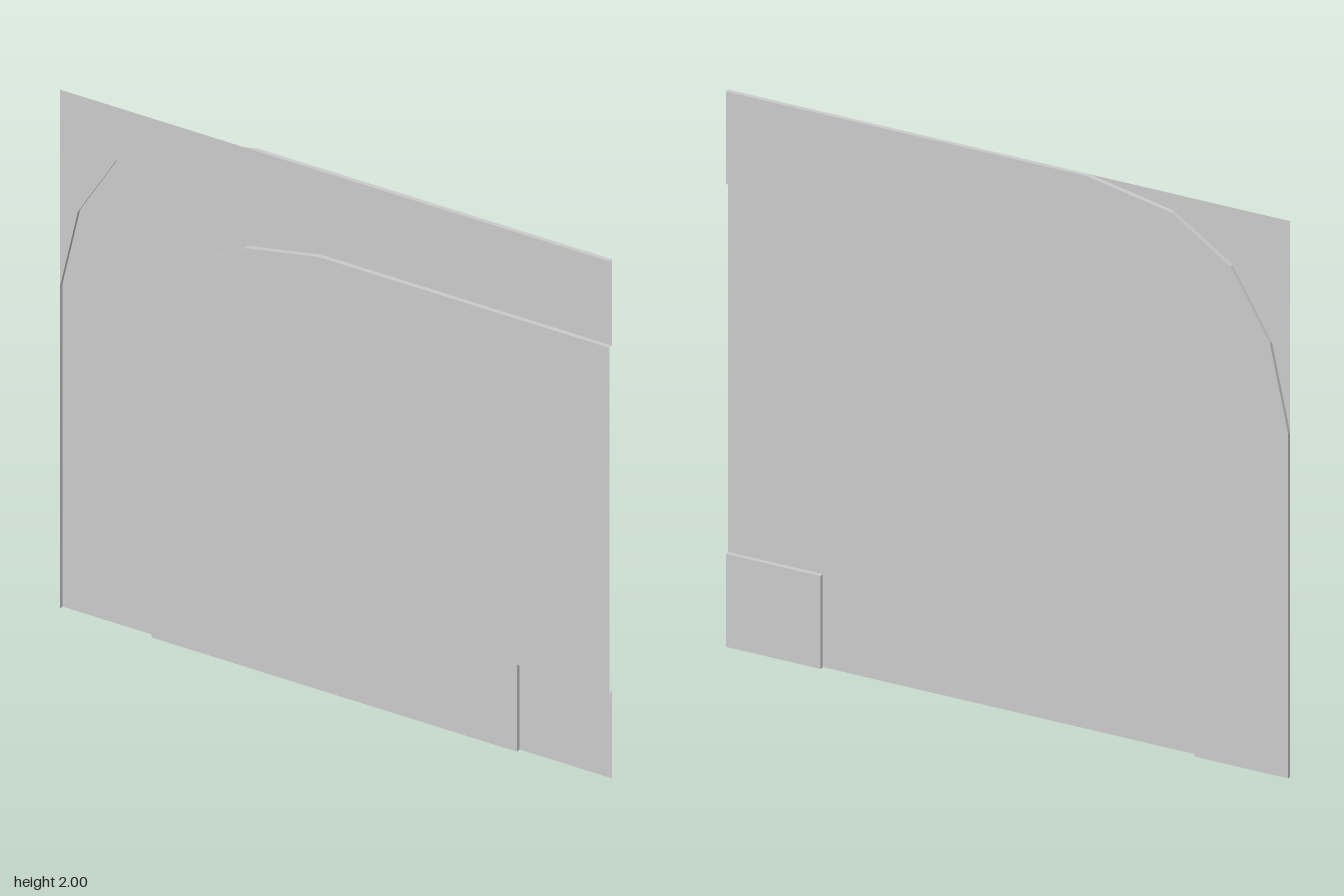
import * as THREE from 'three';

const H = 0.0075; // half of the step between the raised and sunken levels

// Outlines as [x, y]
const outerCurve = [[-1, 1.24], [-0.935, 1.55], [-0.795, 1.795], [-0.585, 1.94], [-0.285, 2]];
const outerEdge = [[-1, 0], ...outerCurve, [1, 2]];
const innerEdge = [[-0.667, 0], [-0.667, 1.02], [-0.613, 1.29], [-0.493, 1.498], [-0.325, 1.613], [-0.06, 1.667], [1, 1.667]];
const padEdge = [[1, 0.335], [0.663, 0.335], [0.663, 0]];

const material = new THREE.MeshStandardMaterial({ color: 0xcccccc, flatShading: true, side: THREE.DoubleSide });

// Flat panel facing +z at a given level
function panel(name, points, z) {
  const shape = new THREE.Shape(points.map(([x, y]) => new THREE.Vector2(x, y)));
  const mesh = new THREE.Mesh(new THREE.ShapeGeometry(shape), material);
  mesh.position.z = z;
  mesh.name = name;
  return mesh;
}

// Thin step wall joining both levels along a path
function wall(name, path) {
  const positions = [], index = [];
  path.forEach(([x, y], i) => {
    positions.push(x, y, -H, x, y, H);
    if (i > 0) {
      const a = 2 * i - 2;
      index.push(a, a + 2, a + 1, a + 1, a + 2, a + 3);
    }
  });
  const geometry = new THREE.BufferGeometry();
  geometry.setAttribute('position', new THREE.Float32BufferAttribute(positions, 3));
  geometry.setIndex(index);
  geometry.computeVertexNormals();
  const mesh = new THREE.Mesh(geometry, material);
  mesh.name = name;
  return mesh;
}

export function createModel() {
  const group = new THREE.Group();
  group.name = 'cornerTile';
  group.add(
    // Raised surfaces
    panel('innerGround', [...innerEdge, ...padEdge], H),
    panel('outerCorner', [...outerCurve, [-1, 2]], H),
    // Sunken surfaces
    panel('curvedBand', [...outerEdge, ...[...innerEdge].reverse()], -H),
    panel('cornerPad', [...padEdge, [1, 0]], -H),
    // Steps between the levels
    wall('outerStep', outerEdge),
    wall('innerStep', innerEdge),
    wall('padStep', padEdge),
  );
  return group;
}
